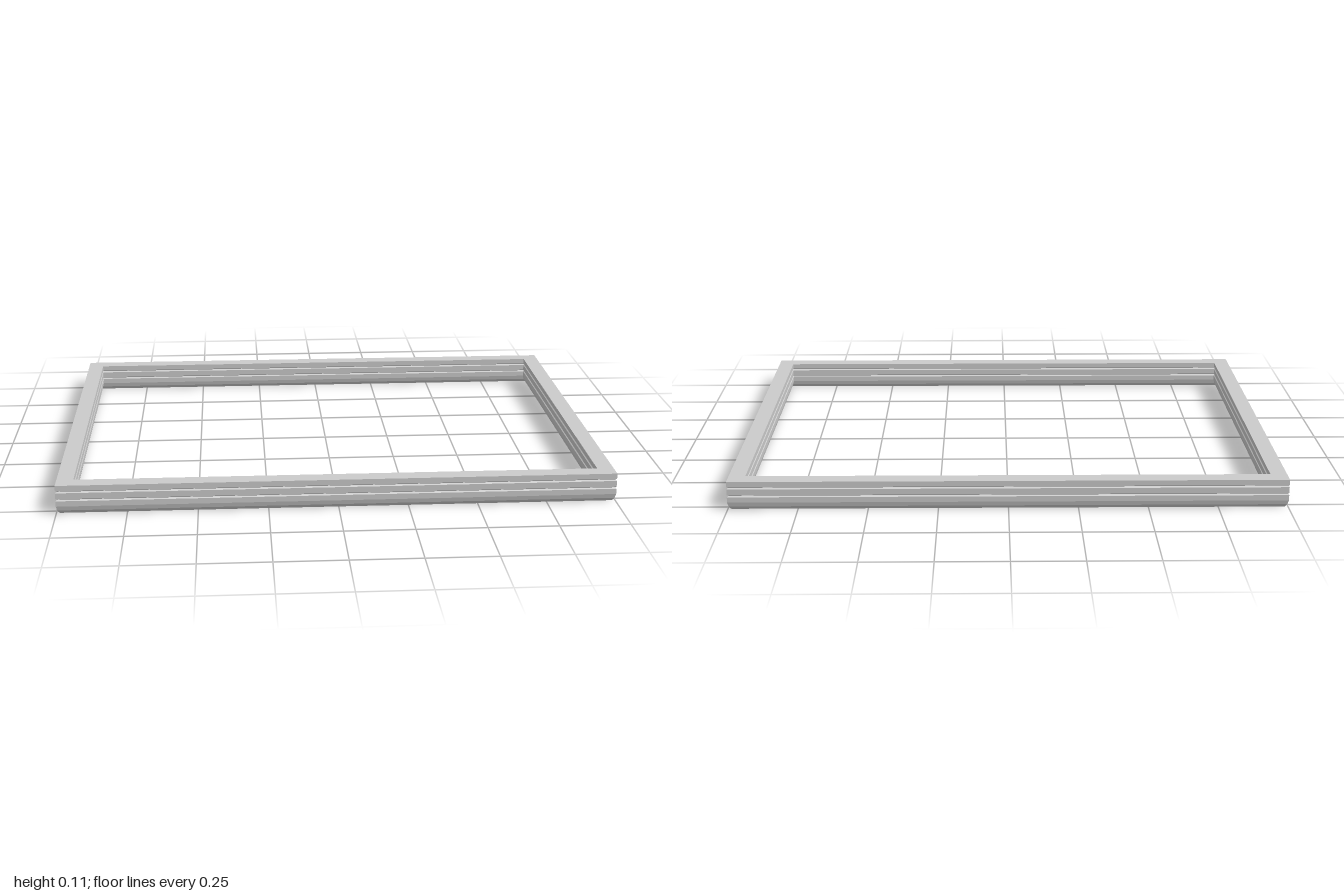
import * as THREE from 'three';

const HALF_X = 1, HALF_Z = 0.78, WIDTH = 0.06, HEIGHT = 0.106;
const GROOVES = [0.052, 0.082];   // heights of the V grooves
const JOINT_Z = -0.345;           // butt joint in the left rail

// Half of the moulding section: bevelled bottom edge, two grooves, square top
function sectionEdge() {
  const pts = [[0.012, 0], [0.004, 0.012], [0, 0.028]];
  for (const y of GROOVES) pts.push([0, y - 0.004], [0.006, y], [0, y + 0.004]);
  pts.push([0, HEIGHT]);
  return pts;
}

// Full section, outer face at x = 0 and inner face at x = -WIDTH
function section() {
  const edge = sectionEdge();
  const inner = edge.map(([u, y]) => new THREE.Vector2(u - WIDTH, y));
  const outer = edge.map(([u, y]) => new THREE.Vector2(-u, y));
  return new THREE.Shape([...outer, ...inner.reverse()]);
}

// Rail along z; null ends are mitred at 45 degrees, numbers are square cuts
function rail(name, distance, half, angle, from = null, to = null) {
  const geo = new THREE.ExtrudeGeometry(section(), { depth: 1, bevelEnabled: false });
  const p = geo.attributes.position;
  for (let i = 0; i < p.count; i++) {
    const x = p.getX(i), reach = half + x;
    const a = from ?? -reach, b = to ?? reach;
    p.setXYZ(i, distance + x, p.getY(i), a + (b - a) * p.getZ(i));
  }
  geo.rotateY(angle);
  geo.computeVertexNormals();
  const mesh = new THREE.Mesh(geo, new THREE.MeshStandardMaterial({ color: 0xcccccc, flatShading: true }));
  mesh.name = name;
  return mesh;
}

export function createModel() {
  const frame = new THREE.Group();
  frame.name = 'frame';
  frame.add(
    rail('frontRail', HALF_Z, HALF_X, -Math.PI / 2),
    rail('backRail', HALF_Z, HALF_X, Math.PI / 2),
    rail('rightRail', HALF_X, HALF_Z, Math.PI),
    // left rail in two lengths meeting at the joint
    rail('leftRailBack', HALF_X, HALF_Z, 0, null, JOINT_Z),
    rail('leftRailFront', HALF_X, HALF_Z, 0, JOINT_Z, null),
  );
  return frame;
}
